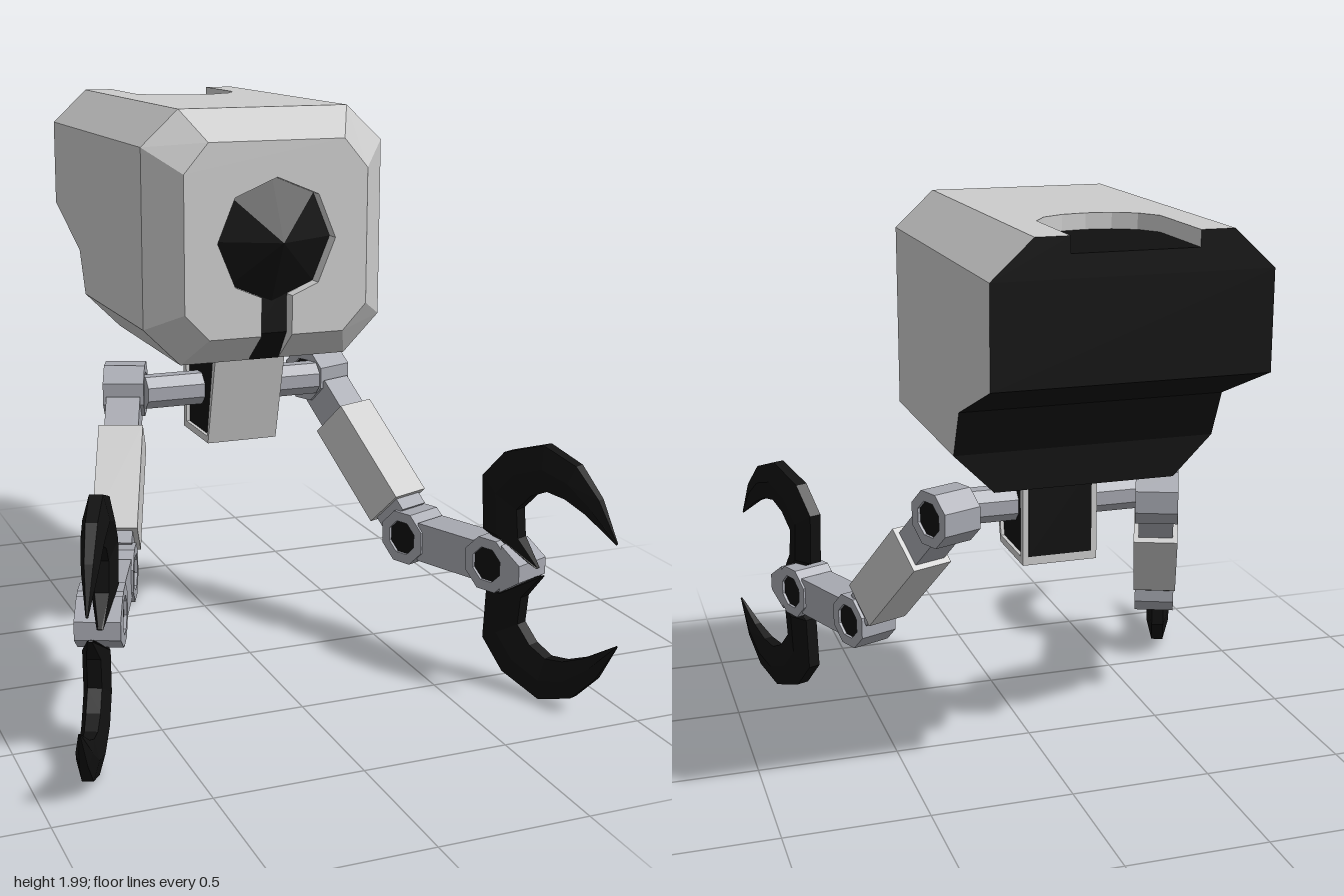
import * as THREE from 'three';

const material = (color) => new THREE.MeshStandardMaterial({ color, flatShading: true, side: THREE.DoubleSide });
const grey = material(0xcccccc), steel = material(0xa6a8b0), dark = material(0x101010);

function add(parent, name, geometry, mat, x = 0, y = 0, z = 0) {
  const mesh = new THREE.Mesh(geometry, mat);
  mesh.name = name;
  mesh.position.set(x, y, z);
  parent.add(mesh);
  return mesh;
}

// Flat polygons, each a list of [x, y, z] corners counter-clockwise from outside
function polygons(list) {
  const position = [];
  for (const corners of list) {
    const p = corners.map((c) => new THREE.Vector3(...c));
    const n = new THREE.Vector3();
    p.forEach((a, i) => n.add(a.clone().cross(p[(i + 1) % p.length])));
    n.normalize();
    const u = new THREE.Vector3(Math.abs(n.x) > 0.9 ? 0 : 1, Math.abs(n.x) > 0.9 ? 1 : 0, 0).cross(n).normalize();
    const v = n.clone().cross(u);
    const flat = p.map((a) => new THREE.Vector2(a.dot(u), a.dot(v)));
    for (const tri of THREE.ShapeUtils.triangulateShape(flat, []))
      for (const i of tri) position.push(p[i].x, p[i].y, p[i].z);
  }
  const g = new THREE.BufferGeometry();
  g.setAttribute('position', new THREE.Float32BufferAttribute(position, 3));
  g.computeVertexNormals();
  return g;
}

// Side profile of [z, y] points, extruded across x and centred
function slab(points, width, hole) {
  const toVec = (pts) => pts.map(([a, b]) => new THREE.Vector2(a, b));
  const shape = new THREE.Shape(toVec(points));
  if (hole) shape.holes.push(new THREE.Path(toVec(hole)));
  return new THREE.ExtrudeGeometry(shape, { depth: width, bevelEnabled: false })
    .translate(0, 0, -width / 2).rotateY(-Math.PI / 2);
}

const octagon = (r) => Array.from({ length: 8 }, (_, i) => {
  const a = (i + 0.5) * Math.PI / 4;
  return [r * Math.cos(a), r * Math.sin(a)];
});

function buildBody(root) {
  const body = new THREE.Group();
  body.name = 'body';
  root.add(body);
  const flip = (poly) => poly.map(([x, y, z]) => [-x, y, z]).reverse();
  const outer = [[0.43, 1.275], [0.43, 1.88], [0.3, 2], [-0.3, 2], [-0.43, 1.88], [-0.43, 1.275], [-0.3, 1.145], [0.3, 1.145]]
    .map(([x, y]) => [x, y, 0.13]);
  const inner = [[0.325, 1.34], [0.325, 1.8], [0.24, 1.9], [-0.24, 1.9], [-0.325, 1.8], [-0.325, 1.34], [-0.24, 1.25], [0.24, 1.25]]
    .map(([x, y]) => [x, y, 0.255]);
  const shell = [];

  // front bevel, with the bottom one split by the slot
  for (let k = 0; k < 8; k++)
    if (k !== 6) shell.push([inner[k], outer[k], outer[(k + 1) % 8], inner[(k + 1) % 8]]);
  const s = 0.055, recess = 0.205;
  const slotHalf = [[s, 1.25, 0.255], [s, 1.145, 0.13], outer[7], inner[7]];
  shell.push(slotHalf, flip(slotHalf));

  // front face with keyhole opening and its walls
  const key = [[-s, 1.25, 0.255], [-s, 1.382, 0.255]];
  for (let k = 5; k >= -1; k--) {
    const a = k * Math.PI / 4;
    key.push([0.21 * Math.cos(a), 1.57 + 0.21 * Math.sin(a), 0.255]);
  }
  key.push([s, 1.382, 0.255], [s, 1.25, 0.255]);
  shell.push([...inner.slice(0, 7), ...key, inner[7]]);
  const deep = ([x, y]) => [x, y, recess];
  for (let i = 0; i + 1 < key.length; i++)
    shell.push([key[i], deep(key[i]), deep(key[i + 1]), key[i + 1]]);
  const slotWall = [[-s, 1.25, 0.255], [-s, 1.145, 0.13], [-s, 1.25, recess]];
  shell.push(slotWall, flip(slotWall));

  // sides and long bevels
  const sides = [
    [[0.43, 1.275, 0.13], [0.43, 1.275, -0.59], [0.43, 1.43, -0.66], [0.43, 1.57, -1], [0.43, 1.88, -1], [0.43, 1.88, 0.13]],
    [[0.43, 1.88, 0.13], [0.43, 1.88, -1], [0.3, 2, -1], [0.3, 2, 0.13]],
    [[0.3, 1.145, 0.13], [0.3, 1.145, -0.59], [0.43, 1.275, -0.59], [0.43, 1.275, 0.13]],
  ];
  for (const p of sides) shell.push(p, flip(p));

  // top with rounded notch
  const n = 0.195, floorY = 1.95;
  const notch = [[n, -1], [n, -0.69], [0.15, -0.62], [0.08, -0.582], [0, -0.57],
    [-0.08, -0.582], [-0.15, -0.62], [-n, -0.69], [-n, -1]].map(([x, z]) => [x, 2, z]);
  shell.push([[-0.3, 2, 0.13], [0.3, 2, 0.13], [0.3, 2, -1], ...notch, [-0.3, 2, -1]]);
  const low = ([x, , z]) => [x, floorY, z];
  for (let i = 0; i + 1 < notch.length; i++)
    shell.push([notch[i], low(notch[i]), low(notch[i + 1]), notch[i + 1]]);
  add(body, 'bodyShell', polygons(shell), grey);

  // dark back, underside and notch floor
  const rows = [[0.3, 1.145, -0.59], [0.43, 1.275, -0.59], [0.43, 1.43, -0.66], [0.43, 1.57, -1], [0.43, 1.88, -1]];
  const back = [];
  for (let i = 0; i + 1 < rows.length; i++) {
    const [a, ya, za] = rows[i], [b, yb, zb] = rows[i + 1];
    back.push([[a, ya, za], [-a, ya, za], [-b, yb, zb], [b, yb, zb]]);
  }
  back.push([[0.43, 1.88, -1], [-0.43, 1.88, -1], [-0.3, 2, -1], [-n, 2, -1],
    [-n, floorY, -1], [n, floorY, -1], [n, 2, -1], [0.3, 2, -1]]);
  back.push([[-0.3, 1.145, 0.13], [-0.3, 1.145, -0.59], [0.3, 1.145, -0.59], [0.3, 1.145, 0.13]]);
  add(body, 'bodyBack', polygons(back), dark);
  add(body, 'notchFloor', polygons([notch.map(low).reverse()]), dark);

  // pointed eye and the slot beneath it
  add(body, 'eye', new THREE.ConeGeometry(0.21, 0.11, 8).rotateX(Math.PI / 2), dark, 0, 1.57, 0.26);
  add(body, 'eyeSlot', polygons([
    [[-s, 1.25, recess], [s, 1.25, recess], [s, 1.42, recess], [-s, 1.42, recess]],
    [[-s, 1.145, 0.13], [s, 1.145, 0.13], [s, 1.25, recess], [-s, 1.25, recess]],
  ]), dark);
}

function buildNeck(root) {
  const hole = [[-0.025, 1.12], [-0.315, 1.12], [-0.315, 0.825], [-0.09, 0.825]];
  add(root, 'neckFrame', slab([[0.01, 1.15], [-0.345, 1.15], [-0.345, 0.8], [-0.08, 0.8]], 0.26, hole), grey);
  add(root, 'neckCore', slab(hole, 0.235), dark);
  add(root, 'neckBackPanel', new THREE.BoxGeometry(0.22, 0.3, 0.006), dark, 0, 0.98, -0.345);
  add(root, 'axle', new THREE.CylinderGeometry(0.062, 0.062, 0.66, 8).rotateY(Math.PI / 8).rotateZ(Math.PI / 2), steel, 0, 0.98, -0.2);
}

// Curved claw lofted through hexagonal sections: outer [z, y], inner [z, y], half thickness
function clawGeometry(up) {
  const stations = [
    [0.17, 0.016, 0.174, 0.02, 0.01], [-0.05, 0.11, 0.1, 0.11, 0.045], [-0.06, 0.3, 0.09, 0.21, 0.045],
    [0.03, 0.4, 0.145, 0.27, 0.045], [0.19, 0.455, 0.21, 0.3, 0.042], [0.32, 0.41, 0.28, 0.29, 0.036],
    [0.41, 0.315, 0.36, 0.255, 0.026], [0.482, 0.182, 0.478, 0.178, 0.004],
  ];
  const loops = stations.map(([oz, oy, iz, iy, t]) => {
    const half = [[0.5 * t, oy, oz], [t, (oy + iy) / 2, (oz + iz) / 2], [0.5 * t, iy, iz]];
    return [...half, ...half.map(([x, y, z]) => [-x, y, z]).reverse()].map(([x, y, z]) => [x, y * up, z]);
  });
  const quads = [];
  for (let i = 0; i + 1 < loops.length; i++)
    for (let j = 0; j < 6; j++) {
      const k = (j + 1) % 6;
      const quad = [loops[i][j], loops[i + 1][j], loops[i + 1][k], loops[i][k]];
      quads.push(up > 0 ? quad : quad.reverse());
    }
  return polygons(quads);
}

function buildArm(root, side) {
  const arm = new THREE.Group();
  arm.name = side > 0 ? 'leftArm' : 'rightArm';
  arm.position.set(side * 0.375, 0.98, -0.274);
  arm.rotation.y = side * 0.384;
  root.add(arm);
  const drop = -0.515, elbowZ = 0.507, wristZ = 0.895;

  // octagonal joints with sunken dark caps
  for (const [name, y, z] of [['shoulder', 0, 0], ['elbow', drop, elbowZ], ['wrist', drop, wristZ]]) {
    add(arm, name + 'Joint', slab(octagon(0.1), 0.145, octagon(0.063)), steel, 0, y, z);
    add(arm, name + 'Cap', slab(octagon(0.064), 0.125), dark, 0, y, z);
  }

  // links start and end inside the joint rings
  const upper = new THREE.Group();
  upper.name = 'upperArm';
  upper.rotation.x = Math.atan2(-drop, elbowZ);
  arm.add(upper);
  add(upper, 'upperLink', new THREE.BoxGeometry(0.12, 0.13, 0.57), steel, 0, 0, 0.36);
  add(upper, 'upperSleeve', new THREE.BoxGeometry(0.155, 0.17, 0.4), grey, 0, 0, 0.4);
  add(arm, 'forearm', slab([[0.07, -0.07], [0.32, -0.07], [0.32, 0.07], [0.07, 0.07]], 0.13), steel, 0, drop, elbowZ);
  add(arm, 'hand', slab([[0.06, -0.085], [0.14, -0.03], [0.14, 0.03], [0.06, 0.085]], 0.145), steel, 0, drop, wristZ);

  for (const up of [1, -1])
    add(arm, up > 0 ? 'upperClaw' : 'lowerClaw', clawGeometry(up), dark, side * (up > 0 ? -0.012 : 0.018), drop, wristZ);
}

export function createModel() {
  const root = new THREE.Group();
  root.name = 'clawRobot';
  buildBody(root);
  buildNeck(root);
  for (const side of [1, -1]) buildArm(root, side);
  return root;
}
